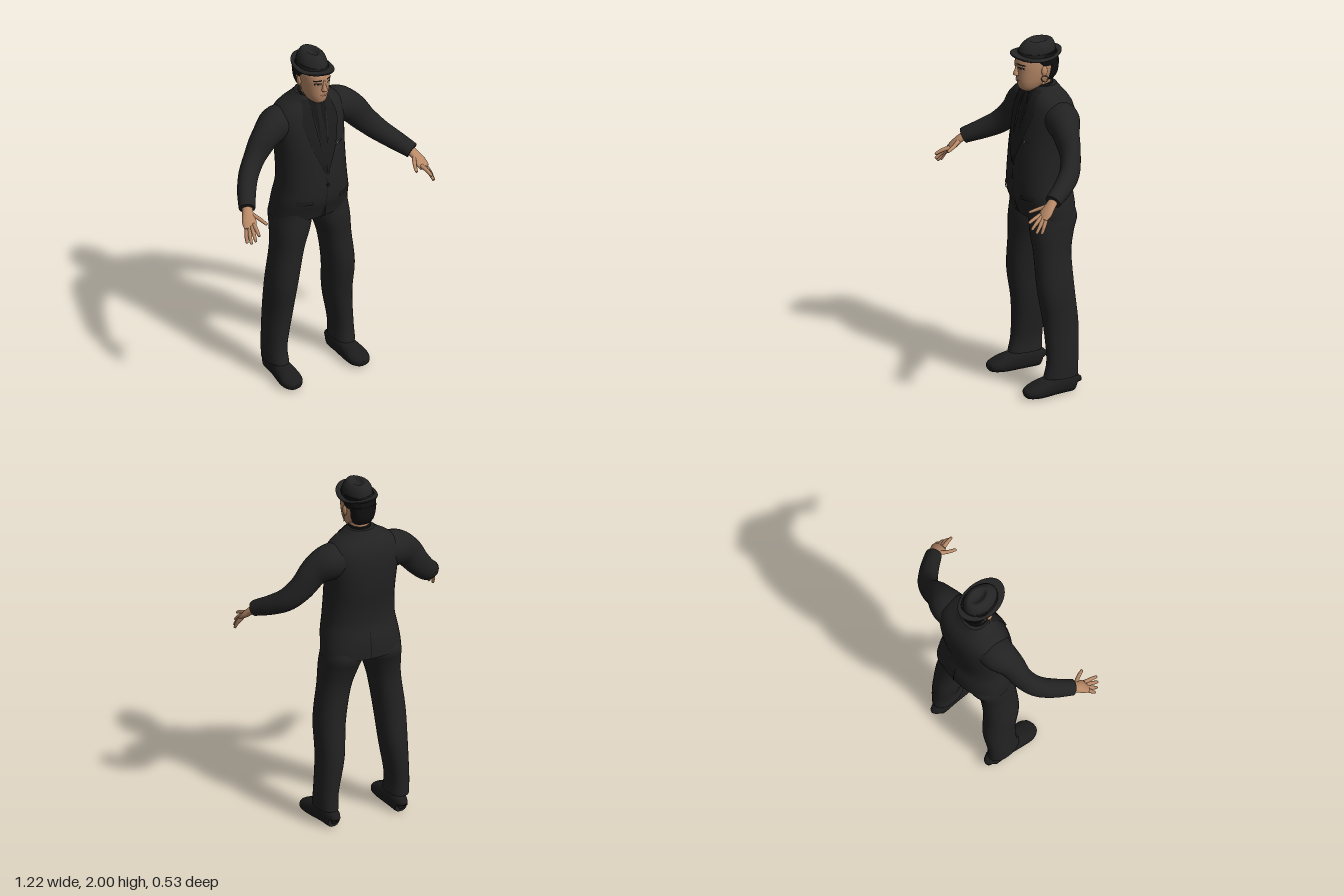
import * as THREE from 'three';

const mat = (name, color, side = THREE.FrontSide) => {
  const m = new THREE.MeshStandardMaterial({ color, side });
  m.name = name;
  return m;
};

// Lofted solid through rows of [x, y, z, a, b]. Rings stay level when `level`
// is set, otherwise they turn to follow the path. `p` squares off the ring.
function loft(rows, { level = false, p = 2, sides = 28, steps = 4, warp } = {}) {
  const curve = (f) => new THREE.CatmullRomCurve3(rows.map(f), false, 'catmullrom', 0.5);
  const path = curve((r) => new THREE.Vector3(r[0], r[1], r[2]));
  const size = curve((r) => new THREE.Vector3(r[3], r[4], 0));
  const n = (rows.length - 1) * steps, pos = [], idx = [];
  const up = new THREE.Vector3(0, 1, 0), centres = [];
  const pw = (v) => Math.sign(v) * Math.abs(v) ** (2 / p);
  for (let i = 0; i <= n; i++) {
    const c = path.getPoint(i / n), s = size.getPoint(i / n);
    let U = new THREE.Vector3(1, 0, 0), V = new THREE.Vector3(0, 0, -1);
    if (!level) {
      const T = path.getTangent(i / n);
      U = up.clone().cross(T).normalize();
      V = T.clone().cross(U);
    }
    centres.push(c);
    for (let j = 0; j < sides; j++) {
      const t = (j / sides) * Math.PI * 2;
      const v = c.clone().addScaledVector(U, s.x * pw(Math.cos(t))).addScaledVector(V, s.y * pw(Math.sin(t)));
      if (warp) warp(v);
      pos.push(v.x, v.y, v.z);
    }
  }
  for (let i = 0; i < n; i++) for (let j = 0; j < sides; j++) {
    const a = i * sides + j, b = i * sides + (j + 1) % sides, c = a + sides, d = b + sides;
    idx.push(a, b, d, a, d, c);
  }
  // separate end caps keep the rims crisp
  for (const end of [0, n]) {
    const base = pos.length / 3, c = centres[end].clone();
    if (warp) warp(c);
    for (let k = 0; k < sides * 3; k++) pos.push(pos[end * sides * 3 + k]);
    pos.push(c.x, c.y, c.z);
    for (let j = 0; j < sides; j++) {
      const a = base + j, b = base + (j + 1) % sides, m = base + sides;
      if (end) idx.push(m, a, b); else idx.push(m, b, a);
    }
  }
  const g = new THREE.BufferGeometry();
  g.setAttribute('position', new THREE.Float32BufferAttribute(pos, 3));
  g.setIndex(idx);
  g.computeVertexNormals();
  return g;
}

// Depth of a level loft's surface at x, y (dir 1 = front, -1 = back)
function surfaceZ(rows, p, x, y, dir) {
  let i = 0;
  while (i < rows.length - 2 && y > rows[i + 1][1]) i++;
  const t = (y - rows[i][1]) / (rows[i + 1][1] - rows[i][1]);
  const [, , cz, rx, rz] = rows[i].map((v, k) => v + (rows[i + 1][k] - v) * t);
  return cz + dir * rz * Math.max(0, 1 - Math.abs(x / rx) ** p) ** (1 / p);
}

// Thin plate hugging a loft, between two edges given as lists of [x, y]
function plate(rows, p, edgeA, edgeB, off = 0.006, dir = 1) {
  const g = new THREE.PlaneGeometry(1, 1, 6, 16), P = g.attributes.position;
  const at = (e, t) => {
    const k = Math.min(e.length - 2, Math.floor(t * (e.length - 1))), f = t * (e.length - 1) - k;
    return [0, 1].map((q) => e[k][q] + (e[k + 1][q] - e[k][q]) * f);
  };
  for (let i = 0; i < P.count; i++) {
    const u = P.getX(i) + 0.5, t = 0.5 - P.getY(i), a = at(edgeA, t), b = at(edgeB, t);
    const x = a[0] + (b[0] - a[0]) * u, y = a[1] + (b[1] - a[1]) * u;
    P.setXYZ(i, x, y, surfaceZ(rows, p, x, y, dir) + dir * off);
  }
  g.computeVertexNormals();
  return g;
}

export function createModel() {
  const model = new THREE.Group();
  model.name = 'suitedFigure';
  const suit = mat('suit black', 0x222222), trim = mat('trim black', 0x1c1c1c, THREE.DoubleSide);
  const shirt = mat('shirt black', 0x151516, THREE.DoubleSide), felt = mat('hat felt', 0x242425);
  const skin = mat('skin', 0xb98a68), hairM = mat('hair', 0x111010, THREE.DoubleSide);
  const lip = mat('lips', 0x8c5c4a, THREE.DoubleSide), white = mat('eye white', 0xb8aca0, THREE.DoubleSide);
  const metal = mat('earring metal', 0x6e6258);
  const add = (name, geo, m, parent = model) => {
    const mesh = new THREE.Mesh(geo, m);
    mesh.name = name;
    parent.add(mesh);
    return mesh;
  };
  const flip = (rows, s) => rows.map((r) => [r[0] * s, ...r.slice(1)]);

  // Jacket body
  const torso = [
    [0, 1.0, -0.115, 0.23, 0.145], [0, 1.06, -0.105, 0.225, 0.155], [0, 1.12, -0.092, 0.217, 0.162],
    [0, 1.2, -0.083, 0.203, 0.157], [0, 1.3, -0.088, 0.197, 0.157], [0, 1.4, -0.1, 0.197, 0.16],
    [0, 1.5, -0.113, 0.205, 0.154], [0, 1.58, -0.122, 0.213, 0.142], [0, 1.64, -0.125, 0.203, 0.125],
    [0, 1.68, -0.122, 0.165, 0.107], [0, 1.71, -0.117, 0.112, 0.088], [0, 1.74, -0.115, 0.074, 0.068]];
  const TP = 2.3;
  add('jacketBody', loft(torso, { level: true, p: TP, sides: 40 }), suit);
  const onJacket = (name, a, b, m, off, dir) => add(name, plate(torso, TP, a, b, off, dir), m);
  onJacket('shirtFront', [[-0.05, 1.725], [0, 1.33]], [[0.05, 1.725], [0.001, 1.33]], shirt, 0.004);
  onJacket('tie', [[-0.014, 1.69], [-0.01, 1.65], [-0.024, 1.45], [-0.006, 1.34]],
    [[0.014, 1.69], [0.01, 1.65], [0.024, 1.45], [0.006, 1.34]], trim, 0.008);
  onJacket('frontEdge', [[-0.002, 1.32], [-0.002, 1.1], [-0.02, 1.002]], [[0.002, 1.32], [0.002, 1.1], [0.015, 1.002]], shirt, 0.004);
  onJacket('backVent', [[0.01, 1.16], [0.008, 1.002]], [[0.014, 1.16], [0.016, 1.002]], shirt, 0.004, -1);
  onJacket('breastPocket', [[0.075, 1.45], [0.075, 1.438]], [[0.125, 1.457], [0.125, 1.445]], trim);
  onJacket('pocketPin', [[0.086, 1.448], [0.084, 1.44]], [[0.095, 1.454], [0.087, 1.44]], white, 0.008);
  for (const y of [1.3, 1.22]) {
    const b = add('button', new THREE.CylinderGeometry(0.009, 0.009, 0.008, 12), trim);
    b.rotation.x = Math.PI / 2;
    b.position.set(0.008, y, surfaceZ(torso, TP, 0, y, 1) + 0.004);
  }

  for (const s of [1, -1]) {
    // Lapels, shirt collar points and pocket flaps
    onJacket('lapel', flip([[0.05, 1.725], [0.042, 1.6], [0.022, 1.45], [0, 1.3]], s),
      flip([[0.082, 1.725], [0.115, 1.6], [0.075, 1.45], [0.01, 1.3]], s), trim, 0.008);
    onJacket('shirtCollar', flip([[0.004, 1.715], [0.035, 1.645]], s), flip([[0.05, 1.735], [0.045, 1.66]], s), shirt, 0.009);
    onJacket('pocketFlap', flip([[0.085, 1.14], [0.085, 1.115]], s), flip([[0.17, 1.145], [0.17, 1.12]], s), trim, 0.007);

    // Sleeve and cuff
    add('sleeve', loft(flip([
      [0.12, 1.585, -0.13, 0.1, 0.085], [0.2, 1.572, -0.13, 0.096, 0.1], [0.28, 1.525, -0.112, 0.072, 0.085],
      [0.35, 1.44, -0.1, 0.057, 0.073], [0.42, 1.365, -0.06, 0.055, 0.064], [0.48, 1.315, 0.01, 0.052, 0.055],
      [0.525, 1.28, 0.08, 0.047, 0.046], [0.537, 1.268, 0.1, 0.045, 0.043]], s)), suit);

    // Hand with four fingers and a thumb
    const hand = new THREE.Group();
    hand.name = 'hand';
    model.add(hand);
    add('palm', loft(flip([[0.525, 1.28, 0.08, 0.026, 0.024], [0.545, 1.25, 0.12, 0.031, 0.021],
      [0.558, 1.217, 0.153, 0.04, 0.019], [0.568, 1.193, 0.18, 0.034, 0.011]], s), { sides: 16 }), skin, hand);
    const digits = [
      [[0.545, 1.21, 0.18], [0.555, 1.198, 0.222], [0.562, 1.18, 0.26]],
      [[0.558, 1.203, 0.18], [0.572, 1.175, 0.22], [0.578, 1.145, 0.25]],
      [[0.57, 1.197, 0.174], [0.587, 1.16, 0.205], [0.594, 1.125, 0.23]],
      [[0.58, 1.195, 0.162], [0.598, 1.158, 0.185], [0.605, 1.122, 0.203]],
      [[0.533, 1.25, 0.125], [0.505, 1.228, 0.175], [0.487, 1.21, 0.222]]];
    digits.forEach(([a, b, c], i) => {
      const tip = c.map((v, k) => v - (c[k] - b[k]) * 0.12);
      add(i < 4 ? 'finger' : 'thumb', loft(flip([[...a, 0.012, 0.012], [...b, 0.0105, 0.0105],
        [...tip, 0.008, 0.008], [...c, 0.003, 0.003]], s), { sides: 10, steps: 3 }), skin, hand);
    });

    // Trouser leg
    add('trouserLeg', loft(flip([
      [0.215, 0.1, -0.11, 0.06, 0.1], [0.215, 0.2, -0.12, 0.06, 0.091], [0.193, 0.4, -0.12, 0.073, 0.1],
      [0.183, 0.6, -0.095, 0.083, 0.105], [0.153, 0.8, -0.09, 0.088, 0.105], [0.13, 0.92, -0.098, 0.104, 0.122],
      [0.116, 1.0, -0.112, 0.11, 0.134], [0.108, 1.08, -0.1, 0.1, 0.12]], s), { level: true, p: 2.2 }), suit);

    // Shoe with a flat sole
    add('shoe', loft(flip([
      [0.205, 0.045, -0.203, 0.018, 0.03], [0.205, 0.05, -0.19, 0.04, 0.052], [0.207, 0.055, -0.1, 0.048, 0.06],
      [0.214, 0.045, 0, 0.06, 0.052], [0.218, 0.036, 0.06, 0.062, 0.038], [0.22, 0.03, 0.1, 0.042, 0.026],
      [0.22, 0.028, 0.113, 0.014, 0.012]], s), { p: 2.3, warp: (v) => { v.y = Math.max(v.y, 0); } }), trim);
  }

  // Neck and shirt band
  add('neck', loft([[0, 1.64, -0.1, 0.056, 0.06], [0, 1.7, -0.095, 0.055, 0.06], [0, 1.78, -0.085, 0.054, 0.065]], { level: true }), skin);
  add('shirtBand', loft([[0, 1.69, -0.1, 0.066, 0.066], [0, 1.735, -0.1, 0.063, 0.064], [0, 1.75, -0.105, 0.06, 0.06]], { level: true }), shirt);

  // Head and face
  const head = [
    [0, 1.712, -0.03, 0.026, 0.04], [0, 1.73, -0.033, 0.046, 0.064], [0, 1.76, -0.045, 0.061, 0.086],
    [0, 1.79, -0.057, 0.07, 0.102], [0, 1.83, -0.064, 0.077, 0.111], [0, 1.87, -0.065, 0.08, 0.115],
    [0, 1.91, -0.068, 0.078, 0.11], [0, 1.95, -0.07, 0.055, 0.08]];
  const HP = 2.2;
  add('head', loft(head, { level: true, p: HP, sides: 32 }), skin);
  add('nose', loft([[0, 1.803, 0.042, 0.01, 0.008], [0, 1.813, 0.05, 0.017, 0.018], [0, 1.825, 0.05, 0.014, 0.018],
    [0, 1.85, 0.046, 0.009, 0.012], [0, 1.875, 0.044, 0.007, 0.008]], { level: true, sides: 14 }), skin);
  const onFace = (name, x, y, w, h, m, off, slant = 0) => add(name, plate(head, HP,
    [[x - w, y + h - slant], [x - w, y - h - slant]], [[x + w, y + h + slant], [x + w, y - h + slant]], off), m);
  onFace('upperLip', 0, 1.783, 0.023, 0.003, lip, 0.004);
  onFace('lowerLip', 0, 1.776, 0.017, 0.003, lip, 0.005);
  for (const s of [1, -1]) {
    onFace('eyebrow', s * 0.036, 1.877, 0.021, 0.004, hairM, 0.004, -s * 0.002);
    onFace('eyeLine', s * 0.036, 1.857, 0.017, 0.007, hairM, 0.003);
    onFace('eyeWhite', s * 0.036, 1.855, 0.012, 0.003, white, 0.004);
    onFace('iris', s * 0.036, 1.855, 0.005, 0.004, hairM, 0.005);
    const ear = add('ear', new THREE.SphereGeometry(1, 14, 10), skin);
    ear.scale.set(0.01, 0.03, 0.018);
    ear.position.set(s * 0.08, 1.835, -0.08);
    const ring = add('earring', new THREE.TorusGeometry(0.018, 0.0028, 8, 24), metal);
    ring.position.set(s * 0.085, 1.792, -0.08);
    ring.rotation.y = s * 1.1;
  }

  // Hair under the hat and down the nape
  add('hairTop', loft([[0, 1.862, -0.102, 0.081, 0.086], [0, 1.89, -0.094, 0.086, 0.098], [0, 1.93, -0.09, 0.082, 0.096]],
    { level: true, p: 2.3 }), hairM);
  add('hairNape', loft([[0, 1.77, -0.12, 0.05, 0.046], [0, 1.8, -0.132, 0.063, 0.052], [0, 1.84, -0.14, 0.07, 0.05],
    [0, 1.88, -0.14, 0.074, 0.052]], { level: true, p: 2.6 }), hairM);

  // Hat: tilted, with an oval brim and a dented crown
  const hat = new THREE.Group();
  hat.name = 'hat';
  hat.position.set(0, 1.918, -0.067);
  hat.rotation.z = -0.08;
  model.add(hat);
  add('hatBrim', loft([[0, -0.006, 0, 0.07, 0.11], [0, -0.01, 0, 0.098, 0.142], [0, -0.003, 0, 0.104, 0.149],
    [0, 0.003, 0, 0.1, 0.144], [0, 0.004, 0, 0.08, 0.115]],
  { level: true, sides: 40, warp: (v) => { v.y += 0.7 * v.z * v.z - 0.5 * v.x * v.x; } }), felt, hat);
  add('hatBand', loft([[0, 0, -0.005, 0.083, 0.111], [0, 0.022, -0.006, 0.081, 0.109]], { level: true }), trim, hat);
  add('hatCrown', loft([[0, -0.01, -0.005, 0.081, 0.109], [0, 0.025, -0.006, 0.079, 0.107], [0, 0.055, -0.01, 0.07, 0.096],
    [0, 0.076, -0.015, 0.052, 0.078], [0, 0.08, -0.015, 0.036, 0.058], [0, 0.066, -0.012, 0.018, 0.036], [0, 0.06, -0.01, 0.003, 0.006]],
  { level: true, sides: 36, warp: (v) => { v.x *= 1 - 3 * Math.max(0, v.z) * Math.max(0, v.y) / 0.08; } }), felt, hat);
  return model;
}
